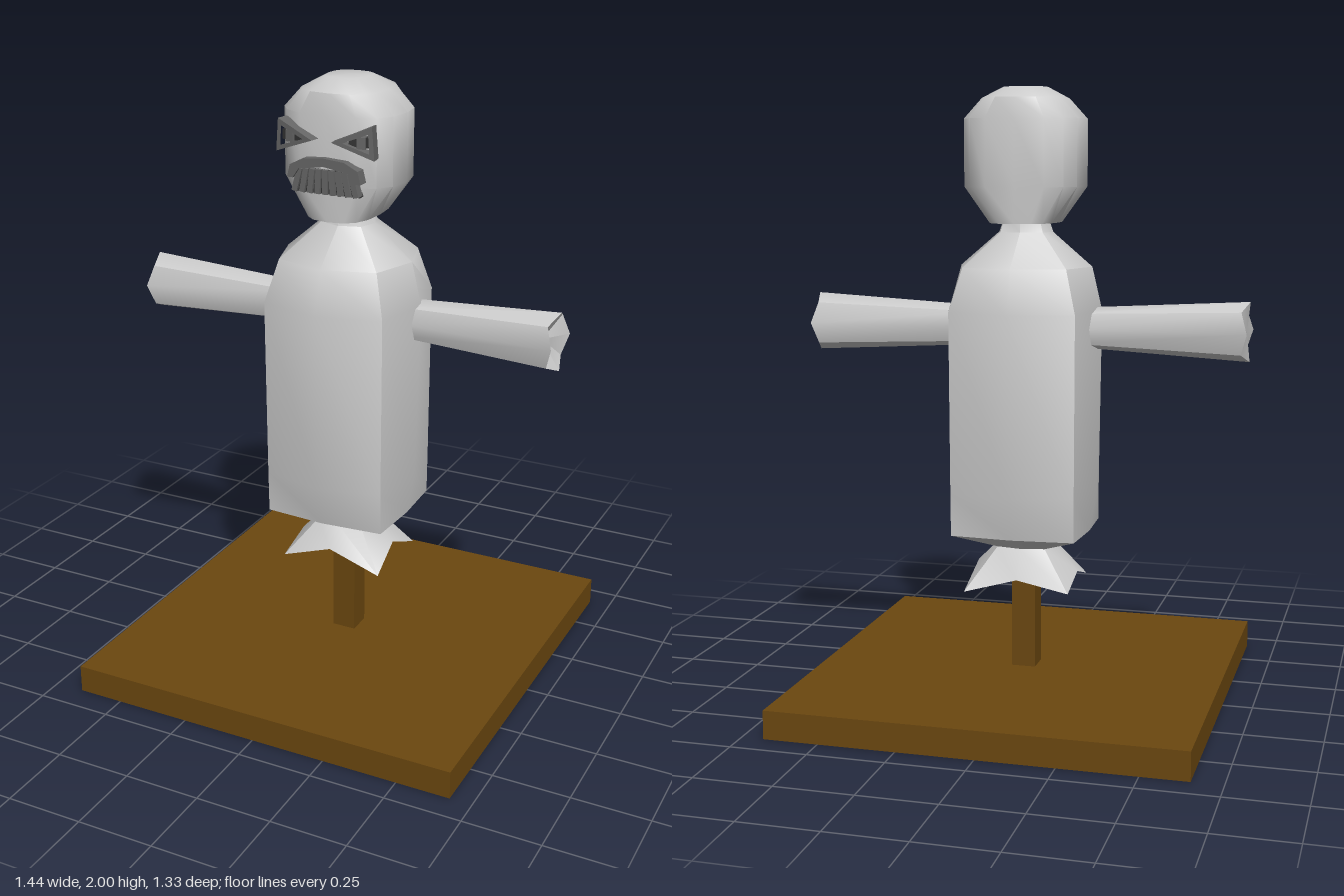
import * as THREE from 'three';
import { toCreasedNormals } from 'three/addons/utils/BufferGeometryUtils.js';

const CX = 0.013; // the figure and its stand share this centre line

const grey = new THREE.MeshStandardMaterial({ color: 0xcccccc, side: THREE.DoubleSide });
const dark = new THREE.MeshStandardMaterial({ color: 0x666666 });
const black = new THREE.MeshStandardMaterial({ color: 0x333333 });
const wood = new THREE.MeshStandardMaterial({ color: 0x6b470f });

// Skin over rings of points, bottom to top; bottom and top are optional cap centres
function loft(rings, { bottom, top, crease = 0.75 } = {}) {
  const n = rings[0].length, pos = rings.flat(2), idx = [];
  for (let r = 0; r < rings.length - 1; r++) {
    for (let i = 0; i < n; i++) {
      const a = r * n + i, b = r * n + (i + 1) % n;
      idx.push(a, a + n, b + n, a, b + n, b);
    }
  }
  const cap = (centre, start, up) => {
    const c = pos.length / 3;
    pos.push(...centre);
    for (let i = 0; i < n; i++) {
      const a = start + i, b = start + (i + 1) % n;
      idx.push(...(up ? [a, c, b] : [b, c, a]));
    }
  };
  if (bottom) cap(bottom, 0, false);
  if (top) cap(top, (rings.length - 1) * n, true);
  const g = new THREE.BufferGeometry();
  g.setAttribute('position', new THREE.Float32BufferAttribute(pos, 3));
  g.setIndex(idx);
  return toCreasedNormals(g, crease);
}

// Eight-sided ring: mid-side points (mx, mz) at y, corners (cx, cz) at yc
function bulgedRing(y, mx, mz, cx, cz, yc = y) {
  return [[mx, y, 0], [cx, yc, cz], [0, y, mz], [-cx, yc, cz],
    [-mx, y, 0], [-cx, yc, -cz], [0, y, -mz], [cx, yc, -cz]];
}

// Rounded-box ring for the head
function roundRing(y, hx, hz, n = 16) {
  return Array.from({ length: n }, (_, i) => {
    const a = i / n * Math.PI * 2, c = Math.cos(a), s = Math.sin(a);
    return [hx * Math.sign(c) * Math.abs(c) ** 0.75, y, hz * Math.sign(s) * Math.abs(s) ** 0.75];
  });
}

function polygon(points, Type = THREE.Shape) {
  return new Type(points.map(p => new THREE.Vector2(...p)));
}

function extrude(shape, depth) {
  return new THREE.ExtrudeGeometry(shape, { depth, bevelEnabled: false, curveSegments: 6 });
}

export function createModel() {
  const model = new THREE.Group();
  model.name = 'trainingDummy';
  const add = (name, geo, mat, x = 0, y = 0, z = 0, parent = model) => {
    const m = new THREE.Mesh(geo, mat);
    m.name = name;
    m.position.set(x, y, z);
    parent.add(m);
    return m;
  };

  // Wooden stand
  add('base', new THREE.BoxGeometry(1.33, 0.092, 1.33), wood, CX, 0.046, 0);
  add('post', new THREE.BoxGeometry(0.08, 0.52, 0.08), wood, CX, 0.34, 0);

  // Sack body: ragged open hem, tied waist, shoulders and neck
  const hem = bulgedRing(0.44, 0.165, 0.145, 0.175, 0.14, 0.378);
  hem[6] = [0, 0.41, -0.13];
  hem[7] = [0.17, 0.368, -0.16];
  hem[4] = [-0.175, 0.42, 0];
  add('body', loft([
    hem,
    bulgedRing(0.505, 0.1, 0.085, 0.08, 0.07),
    bulgedRing(0.56, 0.215, 0.2, 0.205, 0.185),
    bulgedRing(0.70, 0.24, 0.235, 0.205, 0.188),
    bulgedRing(1.29, 0.253, 0.245, 0.207, 0.19),
    bulgedRing(1.43, 0.22, 0.203, 0.17, 0.155),
    bulgedRing(1.54, 0.09, 0.08, 0.07, 0.06),
    bulgedRing(1.60, 0.07, 0.07, 0.055, 0.055),
  ]), grey, CX);

  // Head
  add('head', loft([
    roundRing(1.57, 0.108, 0.155),
    roundRing(1.685, 0.197, 0.156),
    roundRing(1.90, 0.197, 0.158),
    roundRing(1.965, 0.135, 0.143),
    roundRing(2.0, 0.07, 0.072),
  ], { bottom: [0, 1.57, 0], top: [0, 2.0, 0], crease: 0.8 }), grey, CX);

  // Arms widen toward a torn end; the left one is hollowed
  for (const side of [1, -1]) {
    const arm = loft([
      bulgedRing(0.15, 0.064, 0.064, 0.048, 0.048),
      bulgedRing(0.71, 0.095, 0.088, 0.067, 0.068, 0.69),
    ], { top: [0, side > 0 ? 0.65 : 0.70, 0] });
    const m = add(side > 0 ? 'leftArm' : 'rightArm', arm, grey, side > 0 ? CX : -0.01, 1.235, -0.023);
    m.rotation.z = -side * Math.PI / 2;
  }

  // Face
  const face = new THREE.Group();
  face.name = 'face';
  face.position.x = CX;
  model.add(face);

  // Slanted triangular eyes with a pupil
  for (const side of [1, -1]) {
    const eye = new THREE.Group();
    eye.name = side > 0 ? 'leftEye' : 'rightEye';
    eye.position.set(side * 0.09, 1.83, 0.135);
    eye.rotation.y = side * 0.16;
    face.add(eye);
    const frame = polygon([[side * 0.062, 0.052], [side * -0.065, -0.002], [side * 0.07, -0.05]]);
    frame.holes.push(polygon([[side * 0.05, 0.03], [side * -0.03, -0.002], [side * 0.054, -0.03]], THREE.Path));
    add('eyeFrame', extrude(frame, 0.045), dark, 0, 0, 0, eye);
    add('pupil', new THREE.BoxGeometry(0.026, 0.036, 0.04), dark, side * 0.026, 0, 0.018, eye);
    add('eyeSocket', new THREE.BoxGeometry(0.075, 0.03, 0.03), black, side * 0.022, 0, 0.012, eye);
  }

  // Arched upper lip
  const lip = polygon([[-0.125, 1.705], [-0.105, 1.705], [-0.085, 1.735], [0, 1.748], [0.085, 1.735],
    [0.105, 1.705], [0.125, 1.705], [0.115, 1.745], [0.07, 1.768], [0, 1.774], [-0.07, 1.768], [-0.115, 1.745]]);
  add('upperLip', extrude(lip, 0.04), dark, 0, 0, 0.138, face);

  // Bared teeth fanning out slightly, over a dark backing
  const backing = polygon([[-0.115, 1.66], [0.115, 1.66], [0.09, 1.735], [-0.09, 1.735]]);
  add('mouthBacking', extrude(backing, 0.025), black, 0, 0, 0.135, face);
  for (let i = 0; i < 9; i++) {
    const t = (i - 4) / 4;
    const tooth = add('tooth', new THREE.BoxGeometry(0.018, 0.076, 0.03), dark, t * 0.096, 1.698, 0.155, face);
    tooth.rotation.z = t * 0.26;
  }
  return model;
}
